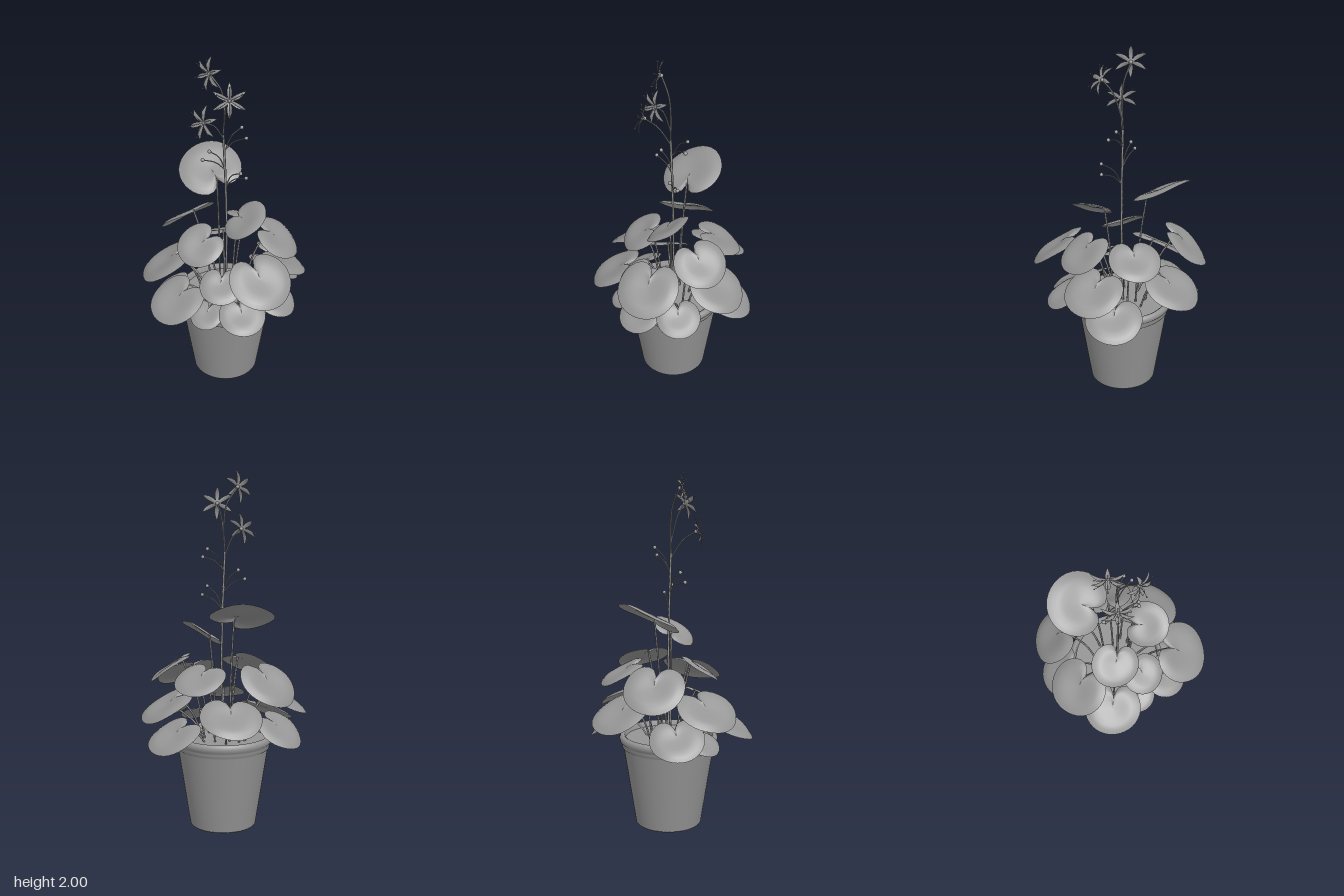
import * as THREE from 'three';

const GREY = 0x959595;
const solid = new THREE.MeshStandardMaterial({ color: GREY });
const thin = new THREE.MeshStandardMaterial({ color: GREY, side: THREE.DoubleSide });
const V = (x, y, z) => new THREE.Vector3(x, y, z);

function add(parent, name, geometry, material = solid) {
  const mesh = new THREE.Mesh(geometry, material);
  mesh.name = name;
  parent.add(mesh);
  return mesh;
}

function tube(points, radius, segments = 12, sides = 6) {
  return new THREE.TubeGeometry(new THREE.CatmullRomCurve3(points), segments, radius, sides);
}

// Surface made of rings around a centre: at(angle, t) gives a point for t = 0..1
function disc(at, segments, rings) {
  const pos = [], idx = [], row = segments + 1;
  for (let j = 0; j <= rings; j++)
    for (let i = 0; i <= segments; i++)
      pos.push(...at((i / segments) * Math.PI * 2, j / rings));
  for (let j = 0; j < rings; j++)
    for (let i = 0; i < segments; i++) {
      const a = j * row + i, b = a + row;
      idx.push(a, b + 1, b);
      if (j > 0) idx.push(a, a + 1, b + 1);
    }
  const g = new THREE.BufferGeometry();
  g.setAttribute('position', new THREE.Float32BufferAttribute(pos, 3));
  g.setIndex(idx);
  g.computeVertexNormals();
  return g;
}

// Round, softly cupped leaf with a notch at local -z, upper face +y, unit radius
const NOTCH = 0.45;
function leafGeometry() {
  return disc((angle, t) => {
    const a = angle - Math.PI; // 0 = leaf tip, +-PI = notch
    const off = Math.PI - Math.abs(a);
    const r = t * (1 - (1 - NOTCH) * Math.exp(-off / 0.26));
    const y = 0.24 * t * t - 0.3 * t ** 4 + 0.03 * t * t * Math.sin(3 * a);
    return [-Math.sin(a) * r, y, Math.cos(a) * r];
  }, 36, 6);
}

// Pot with rolled rim, and soil
function makePot() {
  const pot = new THREE.Group();
  pot.name = 'pot';
  const profile = [[0, 0], [0.18, 0], [0.186, 0.008], [0.254, 0.448], [0.262, 0.455], [0.266, 0.475],
    [0.266, 0.482], [0.274, 0.49], [0.278, 0.508], [0.272, 0.524], [0.258, 0.53], [0.246, 0.522], [0.24, 0.47]];
  add(pot, 'potBody', new THREE.LatheGeometry(profile.map(p => new THREE.Vector2(...p)), 48), thin);
  const soil = add(pot, 'soil', new THREE.CircleGeometry(0.243, 48));
  soil.rotation.x = -Math.PI / 2;
  soil.position.y = 0.5;
  return pot;
}

// Leaves: centre x, y, z, radius, then slope of the upper face in x and z
const LEAVES = [
  [-0.16, 1.23, -0.14, 0.178, 0.2, 0.54],
  [0.145, 1.09, 0.065, 0.13, -0.45, 0.5],
  [-0.075, 0.92, 0.16, 0.135, 0, 0.68],
  [0.272, 0.92, -0.09, 0.148, 0.66, -0.12],
  [0.04, 0.895, -0.25, 0.144, 0.05, -0.53],
  [-0.315, 0.88, -0.15, 0.168, -0.8, -0.38],
  [-0.3, 0.74, 0.145, 0.17, -0.58, 0.22],
  [0.31, 0.83, 0.21, 0.174, 0.52, 0.42],
  [-0.155, 0.62, 0.305, 0.163, -0.2, 0.52],
  [0.075, 0.725, 0.215, 0.12, 0.15, 0.53],
  [0.02, 0.555, 0.285, 0.095, 0, 0.58],
  [0.215, 0.58, 0.235, 0.13, 0.3, 0.45],
  [0.335, 0.605, 0.045, 0.123, 0.58, 0.08],
  [0.26, 0.72, -0.19, 0.166, 0.42, -0.38],
  [0.18, 0.575, -0.28, 0.158, 0.25, -0.52],
  [-0.16, 0.712, -0.305, 0.168, -0.3, -0.48],
  [-0.34, 0.598, -0.03, 0.15, -0.75, -0.2],
  [-0.275, 0.55, 0.12, 0.11, -0.48, 0.3],
];

function makeLeaves() {
  const group = new THREE.Group();
  group.name = 'foliage';
  const blade = leafGeometry();
  for (const [x, y, z, r, sx, sz] of LEAVES) {
    const up = V(sx, 1, sz).normalize();
    const out = V(x, 0, z).normalize();
    out.addScaledVector(up, -out.dot(up)).normalize();
    const leaf = add(group, 'leafBlade', blade, thin);
    leaf.quaternion.setFromRotationMatrix(
      new THREE.Matrix4().makeBasis(new THREE.Vector3().crossVectors(up, out), up, out));
    leaf.position.set(x, y, z);
    leaf.scale.setScalar(r);
    // stalk rising from the soil to the notch
    const tip = V(x, y, z).addScaledVector(out, -NOTCH * r);
    const root = V(x * 0.35, 0.48, z * 0.35);
    const mid = V(root.x + (tip.x - root.x) * 0.4, root.y + (tip.y - root.y) * 0.6, root.z + (tip.z - root.z) * 0.4);
    add(group, 'leafStalk', tube([root, mid, tip], 0.0055));
  }
  return group;
}

// Star flower facing local +z: narrow petals and long stamens
function makeFlower() {
  const flower = new THREE.Group();
  flower.name = 'flower';
  const length = 0.098;
  const petal = new THREE.PlaneGeometry(1, length, 2, 6).translate(0, length / 2, 0);
  const p = petal.attributes.position;
  for (let i = 0; i < p.count; i++) {
    const t = p.getY(i) / length;
    const w = 0.026 * Math.pow(Math.sin(Math.PI * (0.08 + 0.92 * t)), 0.9);
    const side = p.getX(i);
    p.setXYZ(i, side * w, p.getY(i), 0.014 * Math.sin(t * 3) + Math.abs(side) * w * 0.35);
  }
  petal.computeVertexNormals();
  for (let i = 0; i < 6; i++) {
    add(flower, 'petal', petal, thin).rotation.z = (i * Math.PI) / 3;
    const a = ((i + 0.5) * Math.PI) / 3;
    const end = V(Math.cos(a) * 0.075, Math.sin(a) * 0.075, 0.035);
    add(flower, 'stamen', tube([V(0, 0, 0), V(end.x * 0.4, end.y * 0.4, 0.025), end], 0.0014, 5, 4));
    add(flower, 'anther', new THREE.SphereGeometry(0.004, 6, 4)).position.copy(end);
  }
  add(flower, 'flowerHeart', new THREE.SphereGeometry(0.011, 10, 8));
  return flower;
}

// Tall flower stalk with bud branches and three flowers
function makeFlowerStalk() {
  const group = new THREE.Group();
  group.name = 'flowerStalk';
  add(group, 'stalkLower', tube([V(0, 0.48, 0), V(0.008, 0.9, 0), V(0.004, 1.25, 0.005), V(-0.006, 1.55, 0.012)], 0.0065, 24));
  add(group, 'stalkUpper', tube([V(-0.006, 1.55, 0.012), V(0, 1.7, 0.012), V(-0.014, 1.81, 0.02), V(-0.066, 1.9, 0.045)], 0.0045, 20));

  const buds = [
    [1.455, [0.067, 1.572, -0.063], [0.103, 1.525, -0.043]],
    [1.33, [-0.07, 1.45, 0.05], [-0.102, 1.4, 0.068]],
    [1.225, [0.11, 1.355, 0.042], [0.125, 1.31, 0.004]],
  ];
  for (const [y, ...ends] of buds)
    for (const e of ends) {
      const end = V(...e);
      const mid = V(end.x * 0.42, y + (end.y - y) * 0.68, end.z * 0.42);
      add(group, 'budBranch', tube([V(0.002, y, 0.004), mid, end], 0.0032, 10, 5));
      add(group, 'bud', new THREE.SphereGeometry(0.0105, 10, 8)).position.copy(end);
    }

  // flower position, facing direction, height of its branch on the stalk
  const flowers = [
    [[-0.066, 1.903, 0.047], [-0.4, 0.2, 1], 0],
    [[0.073, 1.807, 0.105], [0.5, 0.25, 1], 1.6],
    [[-0.055, 1.668, 0.14], [-0.3, 0.3, 1], 1.52],
  ];
  for (const [at, facing, y] of flowers) {
    const flower = makeFlower();
    flower.position.set(...at);
    flower.lookAt(V(...at).add(V(...facing)));
    group.add(flower);
    if (y) {
      const mid = V(at[0] * 0.45, y + (at[1] - y) * 0.7, at[2] * 0.55);
      add(group, 'flowerBranch', tube([V(-0.002, y, 0.012), mid, V(...at)], 0.004, 12, 5));
    }
  }
  return group;
}

export function createModel() {
  const model = new THREE.Group();
  model.name = 'pottedPlant';
  model.add(makePot(), makeLeaves(), makeFlowerStalk());
  return model;
}
